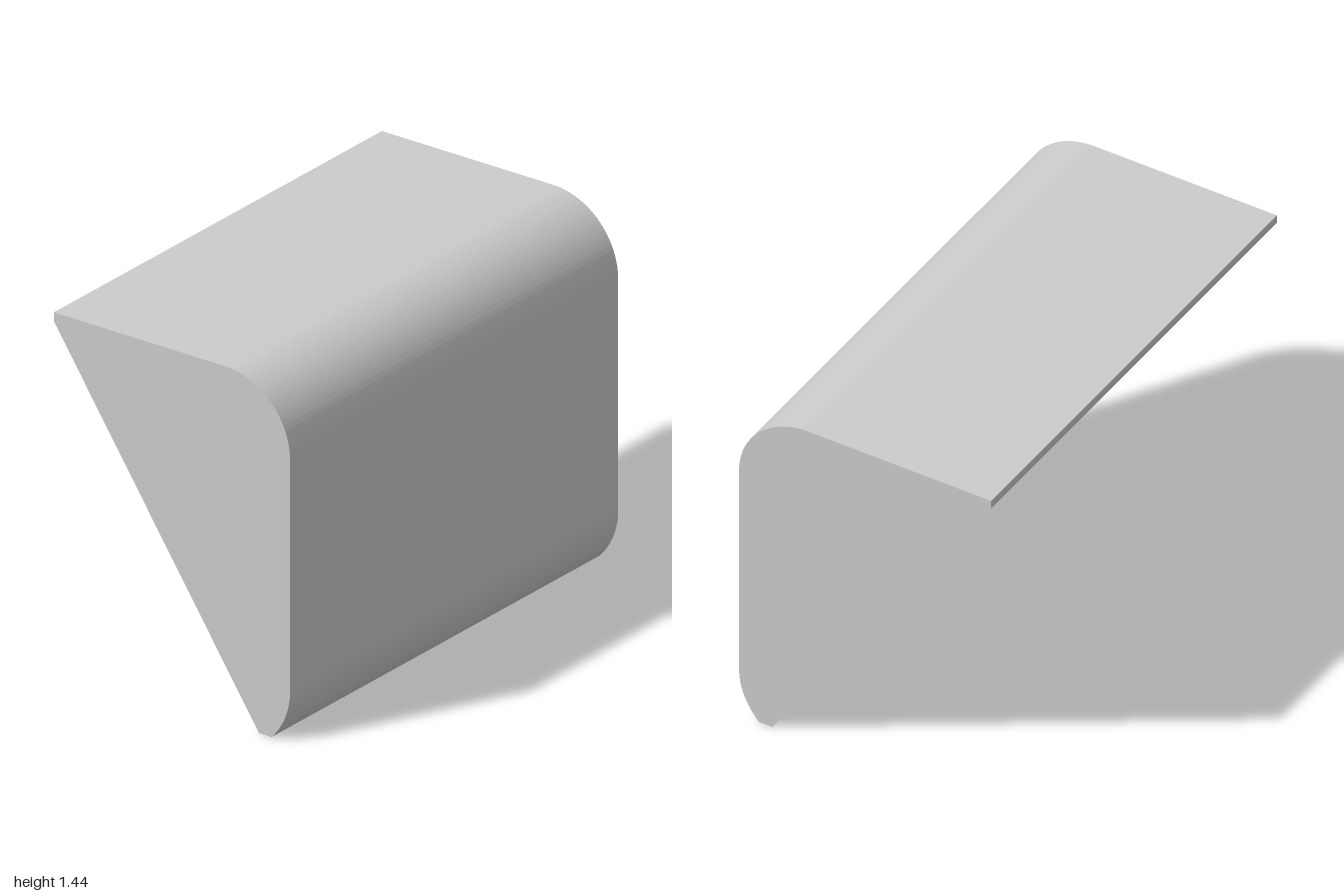
import * as THREE from 'three';

export function createModel() {
  const group = new THREE.Group();
  const grey = new THREE.MeshStandardMaterial({ color: 0xcccccc });
  grey.name = 'plain grey';

  const half = 0.543, top = 1.438, radius = 0.3, depth = 2;
  const cx = half - radius, lowY = 0.21;

  // Wedge outline: narrow flat foot, two arcs on the +x side, flat top, sloped side
  const outline = new THREE.Shape();
  outline.moveTo(0.4, 0);
  outline.lineTo(cx + Math.sqrt(radius ** 2 - lowY ** 2), 0);
  outline.absarc(cx, lowY, radius, -Math.asin(lowY / radius), 0, false);
  outline.absarc(cx, top - radius, radius, 0, Math.PI / 2, false);
  outline.lineTo(-half, top);
  outline.lineTo(-half, 1.403);
  outline.closePath();

  // Solid prism along z
  const geometry = new THREE.ExtrudeGeometry(outline, {
    depth, bevelEnabled: false, curveSegments: 12,
  });
  geometry.translate(0, 0, -depth / 2);

  const body = new THREE.Mesh(geometry, grey);
  body.name = 'wedgeBody';
  group.add(body);
  return group;
}
